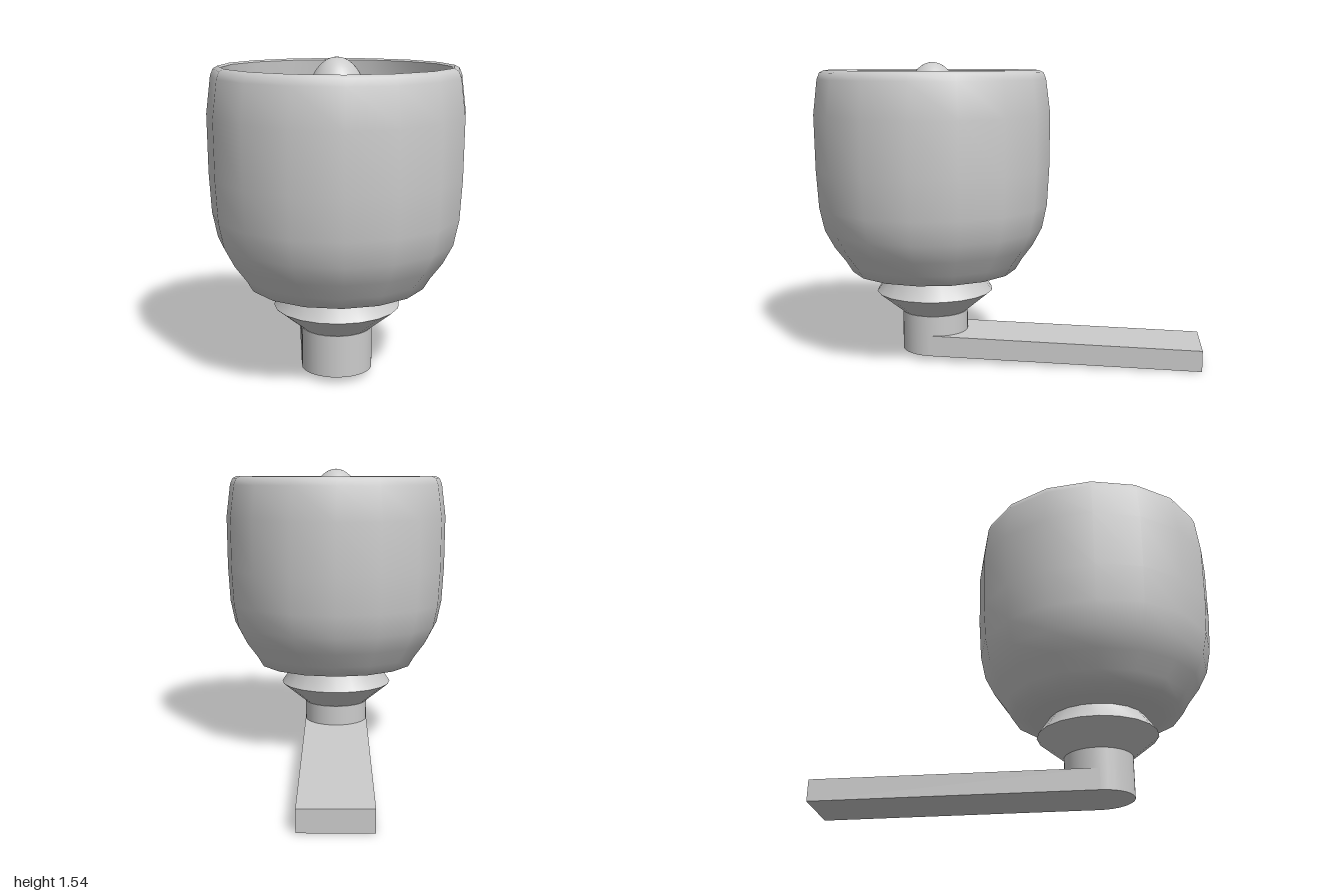
import * as THREE from 'three';
import { toCreasedNormals } from 'three/addons/utils/BufferGeometryUtils.js';

const AXIS_Z = 0.395; // vertical axis of the cup and post

export function createModel() {
  const model = new THREE.Group();
  const material = new THREE.MeshStandardMaterial({ color: 0xcccccc, side: THREE.DoubleSide });

  function add(name, geometry, z = 0) {
    const mesh = new THREE.Mesh(geometry, material);
    mesh.name = name;
    mesh.position.z = z;
    model.add(mesh);
    return mesh;
  }
  function turned(name, points, sides, crease = 0.65) {
    const profile = points.map(([r, y]) => new THREE.Vector2(r, y));
    return add(name, toCreasedNormals(new THREE.LatheGeometry(profile, sides), crease), AXIS_Z);
  }
  // Gentle rise of the arm from back to front
  const rise = (z) => 0.021 * (z + 1);

  // Shade: outer wall, rim, then inner wall down to the floor
  turned('shade', [
    [0.24, 0.435], [0.34, 0.446], [0.43, 0.466], [0.462, 0.52], [0.52, 0.598], [0.568, 0.69],
    [0.593, 0.81], [0.604, 1.0], [0.607, 1.28], [0.585, 1.455], [0.572, 1.488], [0.55, 1.5],
    [0.538, 1.492], [0.545, 1.42], [0.564, 1.25], [0.564, 1.0], [0.55, 0.82], [0.52, 0.69],
    [0.47, 0.59], [0.42, 0.51], [0.36, 0.475], [0.24, 0.455],
  ], 16, 0.9);

  // Flared collar under the shade, closed at the top
  turned('collar', [[0.17, 0.24], [0.305, 0.35], [0.245, 0.435], [0.24, 0.457], [0, 0.457]], 20);

  // Post, its foot cut to the slope of the arm
  const post = new THREE.CylinderGeometry(0.172, 0.172, 0.24, 32);
  post.translate(0, 0.12, 0);
  const p = post.attributes.position;
  for (let i = 0; i < p.count; i++) {
    if (p.getY(i) < 0.01) p.setY(i, rise(p.getZ(i) + AXIS_Z));
  }
  add('post', post, AXIS_Z);

  // Bulb: straight stem with a domed top
  const bulb = [[0.147, 0.45]];
  for (let i = 0; i <= 12; i++) {
    const a = (i / 12) * Math.PI / 2;
    bulb.push([0.147 * Math.cos(a), 1.3 + 0.24 * Math.sin(a)]);
  }
  turned('bulb', bulb, 32);

  // Flat arm reaching back to the wall
  const length = 1 + AXIS_Z;
  const arm = new THREE.BoxGeometry(0.344, 0.108, length);
  arm.translate(0, 0.054, AXIS_Z - length / 2);
  const q = arm.attributes.position;
  for (let i = 0; i < q.count; i++) q.setY(i, q.getY(i) + rise(q.getZ(i)));
  arm.computeVertexNormals();
  add('arm', arm);

  return model;
}
